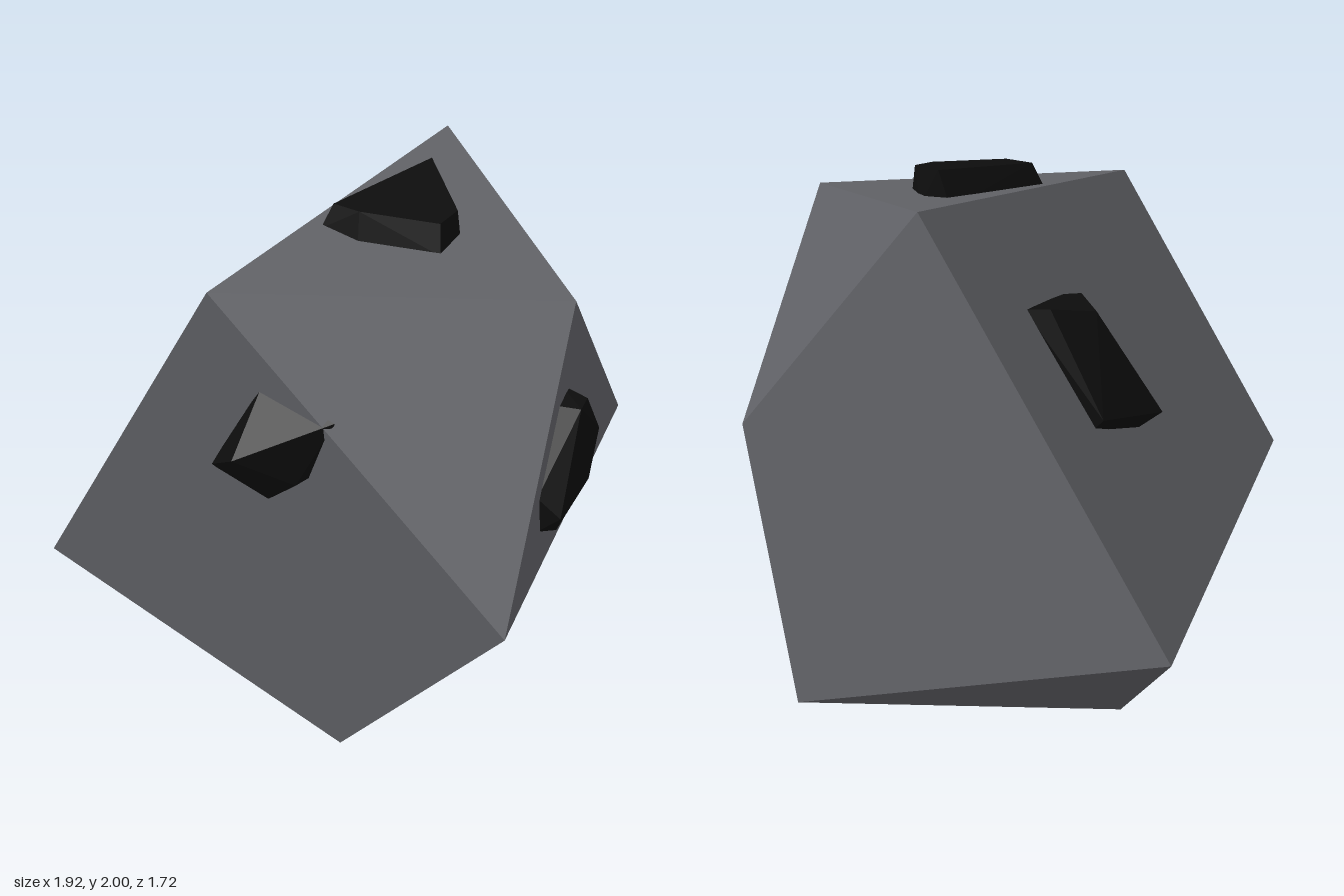
import * as THREE from 'three';
import { ConvexGeometry } from 'three/addons/geometries/ConvexGeometry.js';

const v = (p) => new THREE.Vector3(...p);

// Four-sided boulder: two rings of corners, closed by a pole at each end
function boulderGeometry() {
  const upper = [[-0.18, 1.82, 0.69], [0.93, 0.91, 0.76], [0.79, 1.06, -0.56], [-0.03, 1.97, -0.71]].map(v);
  const lower = [[-0.8, 0.73, 0.86], [0.21, 0, 0.55], [0.42, 0.16, -0.86], [-0.96, 0.67, -0.85]].map(v);
  const topPole = v([0.84, 1.79, 0.12]);
  const bottomPole = v([-0.6, 0.08, -0.3]);
  const pos = [], nor = [];

  const addTriangle = (a, b, c, normal) => {
    const n = normal ?? b.clone().sub(a).cross(c.clone().sub(a)).normalize();
    for (const p of [a, b, c]) {
      pos.push(p.x, p.y, p.z);
      nor.push(n.x, n.y, n.z);
    }
  };

  for (let i = 0; i < 4; i++) {
    const j = (i + 1) % 4;
    const [a, b, c, d] = [lower[i], lower[j], upper[j], upper[i]];
    // each slightly bent side is shaded as one flat facet
    const n = c.clone().sub(a).cross(d.clone().sub(b)).normalize();
    addTriangle(a, b, d, n);
    addTriangle(b, c, d, n);
    addTriangle(d, c, topPole);
    addTriangle(b, a, bottomPole);
  }
  const geo = new THREE.BufferGeometry();
  geo.setAttribute('position', new THREE.Float32BufferAttribute(pos, 3));
  geo.setAttribute('normal', new THREE.Float32BufferAttribute(nor, 3));
  return geo;
}

// Angular lumps half sunk into the boulder: corners of each convex lump
const lumps = {
  topLump: [
    [0.05, 1.88, -0.33], [0.2, 1.86, -0.27], [0.35, 1.83, -0.05],
    [0.35, 1.83, 0.1], [0.08, 1.83, 0.18], [-0.08, 1.86, 0.15],
    [0.11, 2.0, -0.3], [0.34, 1.94, -0.04], [0.33, 1.93, 0.07],
    [0.07, 1.95, 0.15], [-0.04, 1.95, 0.13],
  ],
  leftLump: [
    [0.83, 1.48, 0.26], [0.82, 1.5, 0.15], [0.82, 1.31, -0.02], [0.82, 1.06, -0.06],
    [0.84, 1.04, 0.13], [0.88, 1.1, 0.42], [0.88, 1.24, 0.44],
    [0.93, 1.48, 0.24], [0.92, 1.48, 0.16], [0.91, 1.28, -0.01],
    [0.91, 1.11, 0.05], [0.93, 1.1, 0.38], [0.96, 1.18, 0.43],
  ],
  rightLump: [
    [-0.26, 1.6, -0.42], [-0.26, 1.57, -0.14], [-0.33, 1.46, -0.06],
    [-0.58, 1.14, -0.16], [-0.5, 1.2, -0.44],
    [-0.35, 1.61, -0.41], [-0.46, 1.58, -0.28], [-0.34, 1.58, -0.12],
    [-0.46, 1.4, -0.13], [-0.67, 1.22, -0.18], [-0.56, 1.27, -0.45],
  ],
  frontLump: [
    [0, 1.52, 0.67], [0.29, 1.48, 0.7], [0.18, 1.23, 0.65],
    [0.06, 1.12, 0.61], [-0.02, 1.11, 0.61], [-0.21, 1.17, 0.68],
    [0, 1.34, 0.86], [0.17, 1.24, 0.75], [0.05, 1.14, 0.73],
  ],
};

export function createModel() {
  const group = new THREE.Group();
  group.name = 'boulderWithLumps';

  const boulder = new THREE.Mesh(boulderGeometry(), new THREE.MeshStandardMaterial({ color: 0x606166 }));
  boulder.name = 'boulder';
  group.add(boulder);

  const dark = new THREE.MeshStandardMaterial({ color: 0x0d0d0d });
  for (const [name, corners] of Object.entries(lumps)) {
    const lump = new THREE.Mesh(new ConvexGeometry(corners.map(v)), dark);
    lump.name = name;
    group.add(lump);
  }
  return group;
}
